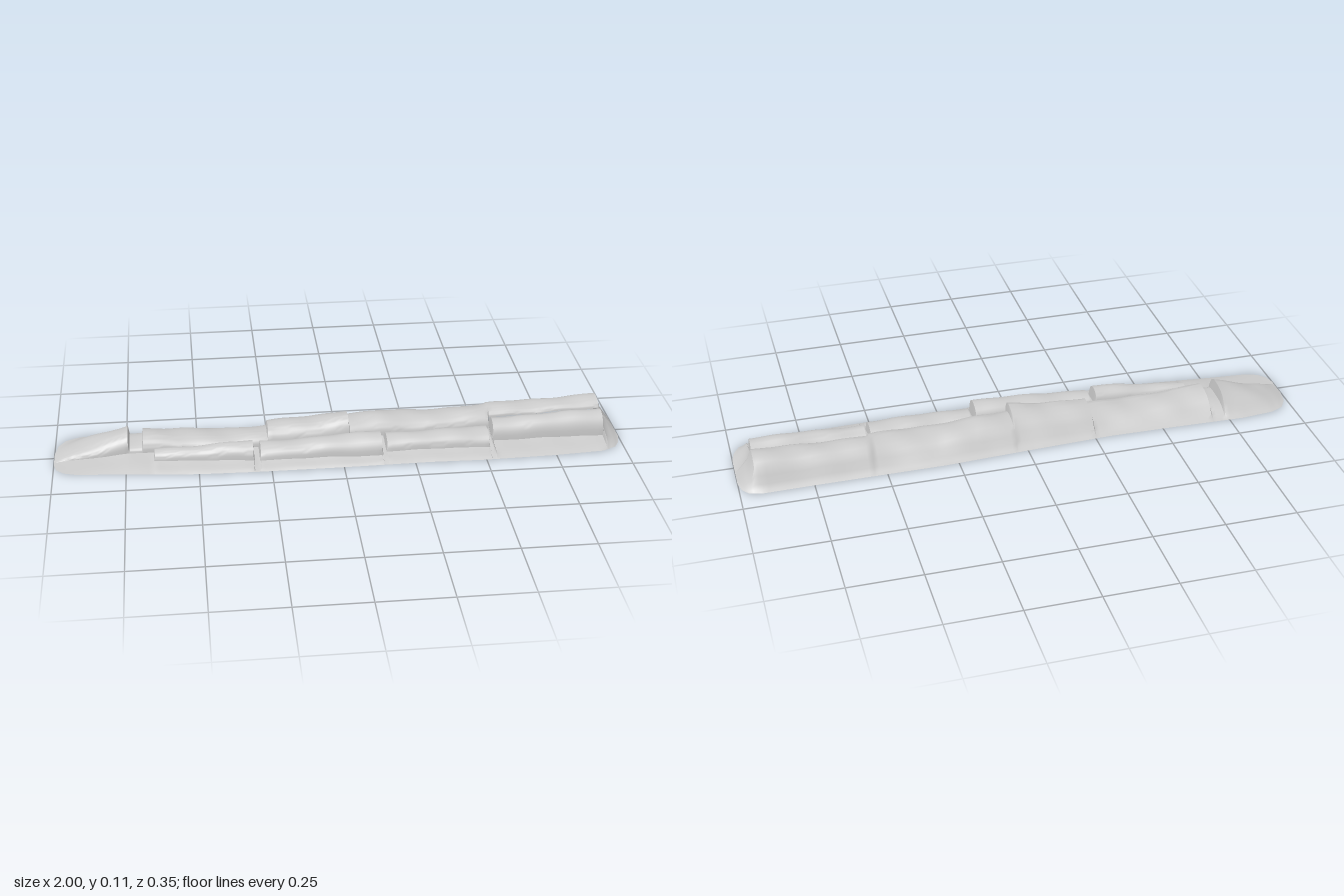
import * as THREE from 'three';
import { toCreasedNormals } from 'three/addons/utils/BufferGeometryUtils.js';

const material = new THREE.MeshStandardMaterial({ color: 0xcccccc, side: THREE.DoubleSide });

// Linear lookup in rows of [x, value, value, ...]
function lookup(rows, x) {
  let i = 1;
  while (i < rows.length - 1 && x > rows[i][0]) i++;
  const a = rows[i - 1], b = rows[i];
  const t = THREE.MathUtils.clamp((x - a[0]) / (b[0] - a[0]), 0, 1);
  return a.slice(1).map((v, k) => THREE.MathUtils.lerp(v, b[k + 1], t));
}

// Outline of the bank on the ground: x, back z, front z
const rim = [
  [-1, -0.03, 0.05], [-0.99, -0.085, 0.085], [-0.965, -0.125, 0.11], [-0.92, -0.147, 0.125],
  [-0.8, -0.158, 0.135], [-0.5, -0.15, 0.165], [-0.3, -0.147, 0.17], [0, -0.16, 0.17],
  [0.3, -0.175, 0.165], [0.5, -0.175, 0.17], [0.75, -0.175, 0.163], [0.92, -0.177, 0.15],
  [0.97, -0.165, 0.125], [0.99, -0.14, 0.09], [1, -0.1, 0.05],
];

// Back row: x, crest height, crest z, front edge z, front edge height.
// Close pairs of x are the exposed ends of bags.
const back = [
  [-1, 0, 0, 0.03, 0], [-0.9, 0.035, -0.02, 0.03, 0.008], [-0.742, 0.086, -0.025, 0.03, 0.02],
  [-0.738, 0.042, -0.03, 0.03, 0.02], [-0.694, 0.045, -0.03, 0.03, 0.02],
  [-0.69, 0.072, -0.02, 0.03, 0.02], [-0.6, 0.063, -0.02, 0.03, 0.02],
  [-0.4, 0.055, -0.02, 0.036, 0.02], [-0.256, 0.058, -0.02, 0.03, 0.02],
  [-0.252, 0.08, -0.02, 0.025, 0.025], [-0.1, 0.09, -0.02, 0.03, 0.03], [0.032, 0.107, -0.015, 0.03, 0.03],
  [0.036, 0.082, -0.05, 0.02, 0.03], [0.15, 0.086, -0.05, 0.012, 0.03], [0.3, 0.078, -0.05, 0.008, 0.03],
  [0.536, 0.085, -0.06, 0, 0.03], [0.542, 0.086, -0.07, -0.03, 0.06], [0.75, 0.092, -0.08, -0.03, 0.07],
  [0.942, 0.1, -0.085, -0.03, 0.072], [0.955, 0.06, -0.085, -0.03, 0.045], [1, 0, -0.06, -0.03, 0],
];

// Front bags: [x, back z, front z, height] at both ends
const bags = [
  [[-0.65, 0.03, 0.085, 0.045], [-0.31, 0.036, 0.12, 0.069]],
  [[-0.284, 0.025, 0.12, 0.056], [0.138, 0.025, 0.13, 0.08]],
  [[0.16, 0.01, 0.103, 0.06], [0.52, 0.003, 0.108, 0.062]],
  [[0.542, -0.03, 0.065, 0.08], [0.938, -0.03, 0.066, 0.094]],
];
const CAP = 0.004, BAG_FOOT = 0.018;

// Gentle lumps, the same for every part so that seams meet
function lump(x, y, z) {
  const k = 0.0022 * Math.min(1, y / 0.03);
  return y + k * (Math.sin(17 * x + 21 * z) + 0.7 * Math.sin(39 * x - 33 * z + 1));
}

// Adds evenly spaced stations between the given x values
function stations(xs) {
  const out = [];
  xs = [...new Set(xs)].sort((a, b) => a - b);
  xs.forEach((x, i) => {
    if (i) {
      const n = Math.ceil((x - xs[i - 1]) / 0.018);
      for (let k = 1; k < n; k++) out.push(THREE.MathUtils.lerp(xs[i - 1], x, k / n));
    }
    out.push(x);
  });
  return out;
}

// Lofts section(x) -> [[z, y], ...], running from back to front, along x
function loft(name, xs, section) {
  const pos = [], idx = [];
  let n = 0;
  xs.forEach((x, i) => {
    const pts = section(x);
    n = pts.length;
    for (const [z, y] of pts) pos.push(x, lump(x, y, z), z);
    if (!i) return;
    for (let j = 0; j < n - 1; j++) {
      const a = (i - 1) * n + j, b = i * n + j;
      idx.push(a, a + 1, b, a + 1, b + 1, b);
    }
  });
  const g = new THREE.BufferGeometry();
  g.setAttribute('position', new THREE.Float32BufferAttribute(pos, 3));
  g.setIndex(idx);
  const mesh = new THREE.Mesh(toCreasedNormals(g, 0.75), material);
  mesh.name = name;
  return mesh;
}

// Back slope rising to a rounded crest, then dropping to its front edge
const slope = [[0, 0], [0.1, 0.09], [0.2, 0.25], [0.33, 0.52], [0.46, 0.74], [0.6, 0.89], [0.8, 0.98]];
function backSection(x) {
  const [r] = lookup(rim, x), [h, c, f, foot] = lookup(back, x);
  const pts = slope.map(([t, s]) => [THREE.MathUtils.lerp(r, c, t), h * s]);
  for (let i = 0; i <= 10; i++) {
    const a = (i / 10) * Math.PI / 2;
    pts.push([c + (f - c) * Math.sin(a), foot + (h - foot) * Math.cos(a) ** 0.8]);
  }
  return pts;
}

// Full arch of one front bag, flat just beyond its ends to close it
function bagSection(bag, x) {
  const [b, f, h] = lookup(bag, x);
  const inside = x >= bag[0][0] && x <= bag[1][0];
  const pts = [];
  for (let i = 0; i <= 16; i++) {
    const a = (i / 16) * Math.PI;
    const y = inside ? (h - BAG_FOOT) * Math.sin(a) ** 0.75 : 0;
    pts.push([(b + f) / 2 - (f - b) / 2 * Math.cos(a), BAG_FOOT + y]);
  }
  return pts;
}

// Low earth in front, starting at the foot of whatever stands behind it
function skirtSection(x) {
  const bag = bags.find(([a, b]) => x >= a[0] && x <= b[0]);
  const [, , f, foot] = lookup(back, x), r = lookup(rim, x)[1];
  const z = bag ? lookup(bag, x)[1] : f, y = bag ? BAG_FOOT : foot;
  return [[0, 1], [0.2, 0.82], [0.45, 0.66], [0.7, 0.5], [0.88, 0.25], [1, 0]]
    .map(([t, s]) => [THREE.MathUtils.lerp(z, r, t), y * s]);
}

export function createModel() {
  const group = new THREE.Group();
  group.name = 'sandbagBank';
  const rimXs = rim.map(p => p[0]), backXs = back.map(p => p[0]);
  const bagXs = bags.flatMap(([a, b]) => [a[0] - CAP, a[0], b[0], b[0] + CAP]);

  group.add(loft('backRow', stations([...rimXs, ...backXs]), backSection));
  bags.forEach((bag, i) => {
    const [x0, x1] = [bag[0][0], bag[1][0]];
    const xs = [x0 - CAP, ...stations([x0, x1]), x1 + CAP];
    group.add(loft('frontBag' + (i + 1), xs, x => bagSection(bag, x)));
  });
  group.add(loft('earthSkirt', stations([...rimXs, ...backXs, ...bagXs]), skirtSection));
  return group;
}
